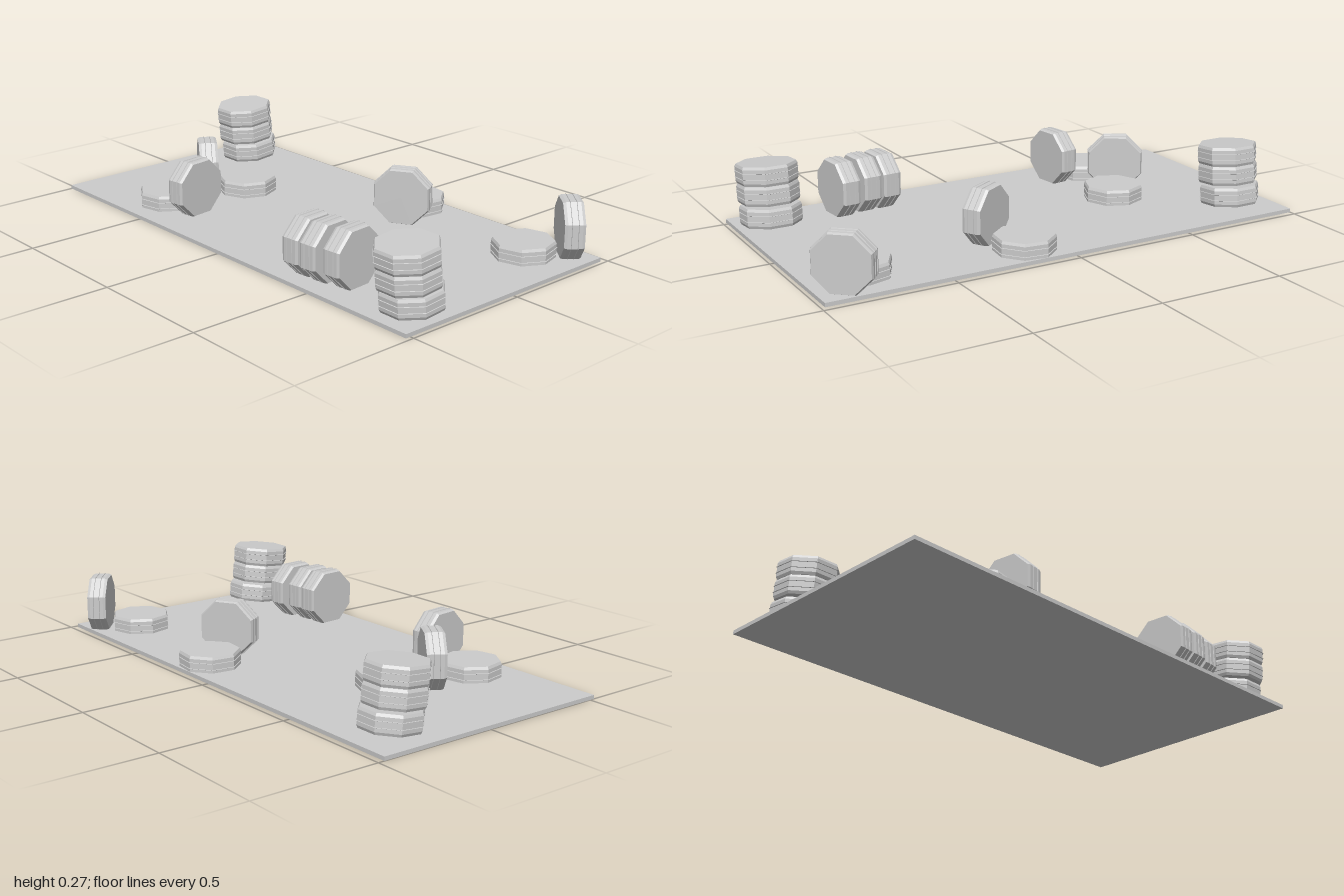
import * as THREE from 'three';

const material = new THREE.MeshStandardMaterial({ color: 0xcccccc, flatShading: true });
const EIGHTH = Math.PI / 8;

// Eight-sided drum: bevelled rims, flat caps and two thin raised ribs, axis along y
function makeDrumGeometry() {
  const half = [[0.114, 0.0375], [0.119, 0.027], [0.119, 0.013], [0.122, 0.012], [0.119, 0.011]];
  const profile = [
    [0, -0.0375],
    ...half.map(([r, y]) => [r, -y]),
    ...half.slice().reverse(),
    [0, 0.0375],
  ].map(([r, y]) => new THREE.Vector2(r, y));
  return new THREE.LatheGeometry(profile, 8).rotateY(EIGHTH);
}

export function createModel() {
  const model = new THREE.Group();
  const drum = makeDrumGeometry();

  function addDrum(name, x, y, z, rx, ry, rz, parent = model) {
    const mesh = new THREE.Mesh(drum, material);
    mesh.name = name;
    mesh.position.set(x, y, z);
    mesh.rotation.set(rx, ry, rz, 'YXZ');
    parent.add(mesh);
  }

  // Thin ground slab
  const slab = new THREE.Mesh(new THREE.BoxGeometry(0.995, 0.015, 1.985), material);
  slab.name = 'groundSlab';
  slab.position.set(-0.0225, 0.0075, -0.0075);
  model.add(slab);

  // Two leaning stacks of three
  [['frontStack', -0.39, 0.855], ['backStack', 0.275, -0.83]].forEach(([name, x, z]) => {
    const stack = new THREE.Group();
    stack.name = name;
    stack.position.set(x, 0, z);
    [[0.025, 0.064], [0.008, 0.147], [0, 0.223]].forEach(([dx, y], i) =>
      addDrum(`stackedDrum${i + 1}`, dx, y, 0, 0, 0, 0.09, stack));
    model.add(stack);
  });

  // Drums standing on edge: x, z, turn
  [
    [-0.395, 0.386, 0.08], [-0.39, 0.471, 0.09], [-0.37, 0.57, 0.09],
    [-0.328, -0.386, 0.13], [-0.13, -0.565, 0.99],
    [0.21, 0.233, -1.03], [0.413, 0.885, 0.86],
  ].forEach(([x, z, turn], i) =>
    addDrum(`standingDrum${i + 1}`, x, 0.123, z, Math.PI / 2, turn, 0));

  // Drums lying flat: x, z, turn
  [
    [-0.34, -0.55, -0.18], [0, -0.47, 0], [0.358, 0.155, 0.27], [0.288, 0.778, -0.13],
  ].forEach(([x, z, turn], i) =>
    addDrum(`flatDrum${i + 1}`, x, 0.039, z, 0, turn - EIGHTH, 0));

  return model;
}
